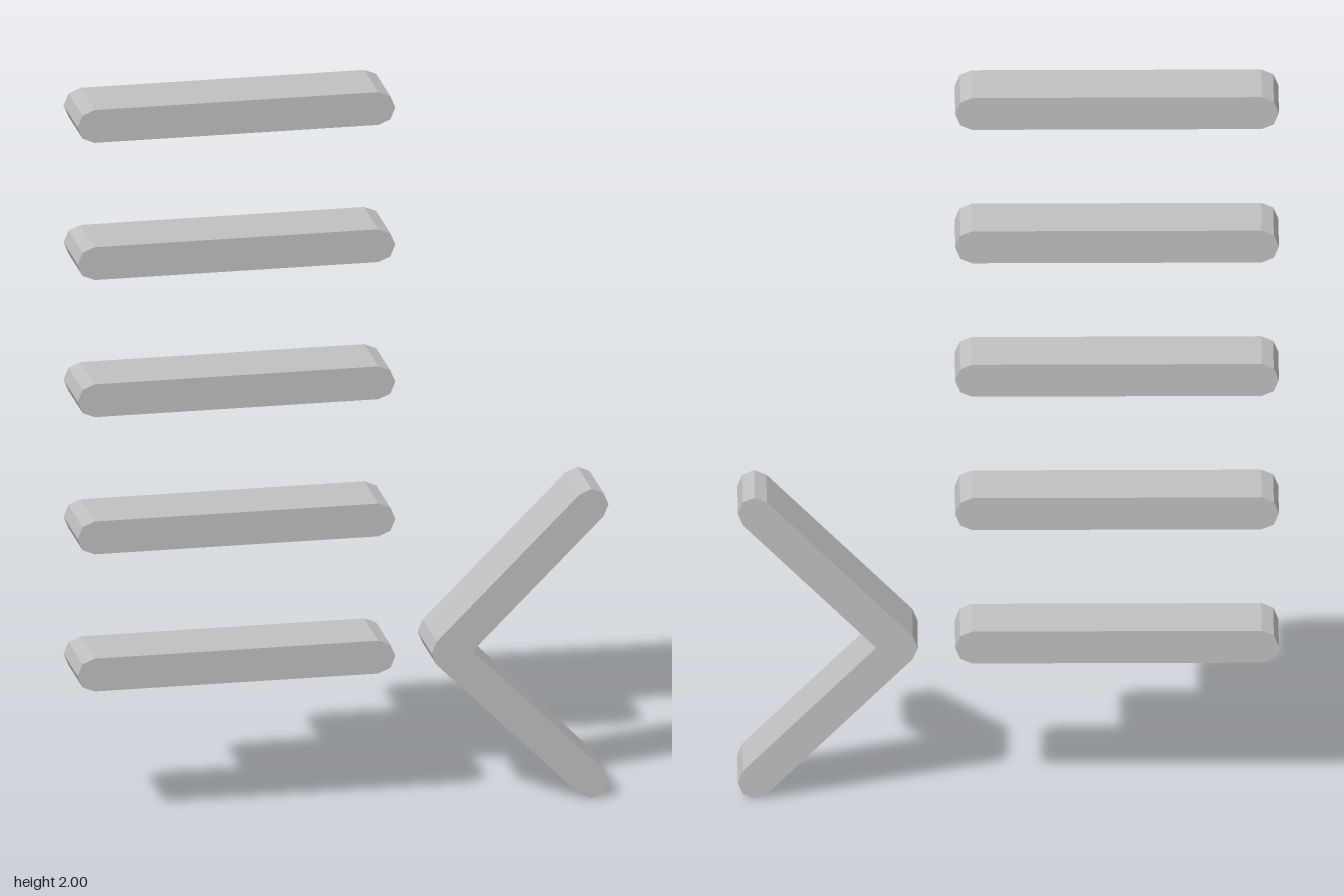
import * as THREE from 'three';

const R = 0.0455;      // half thickness of every stroke
const DEPTH = 0.19;
const STEP = 45;       // degrees per facet of the rounded ends

// Points of a faceted arc around (x, y), angles in degrees
function arc(x, y, from, to) {
  const points = [];
  for (let a = from; a <= to; a += STEP) {
    const t = THREE.MathUtils.degToRad(a);
    points.push(new THREE.Vector2(x + R * Math.cos(t), y + R * Math.sin(t)));
  }
  return points;
}

// Extrude an outline, centred on z = 0
function slab(name, points, material) {
  const geometry = new THREE.ExtrudeGeometry(new THREE.Shape(points), { depth: DEPTH, bevelEnabled: false });
  geometry.translate(0, 0, -DEPTH / 2);
  const mesh = new THREE.Mesh(geometry, material);
  mesh.name = name;
  return mesh;
}

export function createModel() {
  const model = new THREE.Group();
  model.name = 'barsAndChevron';
  const grey = new THREE.MeshStandardMaterial({ color: 0xc0c0c0, flatShading: true });
  grey.name = 'light grey';

  const baseY = 0.431, spacing = 0.381;

  // Stack of five round-ended bars
  const barOutline = [...arc(0.095, 0, -90, 90), ...arc(-0.668, 0, 90, 270)];
  for (let i = 0; i < 5; i++) {
    const bar = slab('bar' + (i + 1), barOutline, grey);
    bar.position.y = baseY + i * spacing;
    model.add(bar);
  }

  // Chevron pointing at the lowest bar
  const tipX = 0.284, arm = 0.384;
  const chevron = slab('chevron', [
    ...arc(tipX + arm, -arm, -135, 45),                 // lower end
    new THREE.Vector2(tipX + R * Math.SQRT2, 0),        // inner corner
    ...arc(tipX + arm, arm, -45, 135),                  // upper end
    ...arc(tipX, 0, 135, 225),                          // outer tip
  ], grey);
  chevron.position.y = baseY;
  model.add(chevron);

  return model;
}
